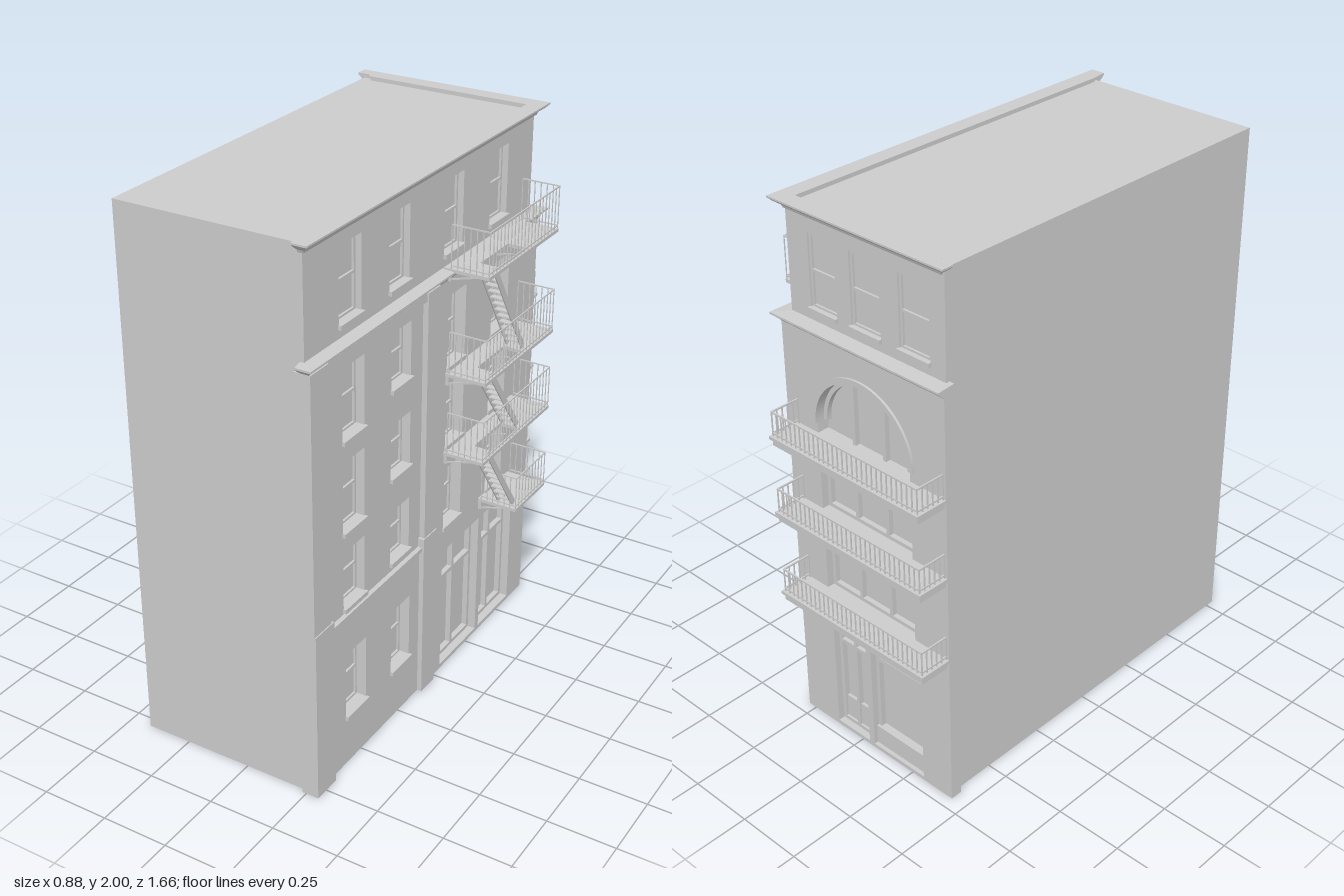
import * as THREE from 'three';
import { mergeGeometries } from 'three/addons/utils/BufferGeometryUtils.js';

const grey = new THREE.MeshStandardMaterial({ color: 0xcccccc, flatShading: true });
const greyOpen = new THREE.MeshStandardMaterial({ color: 0xcccccc, flatShading: true, side: THREE.DoubleSide });

function add(parent, name, geos, mat = grey) {
  const list = Array.isArray(geos) ? geos : [geos];
  const mesh = new THREE.Mesh(list.length > 1 ? mergeGeometries(list) : list[0], mat);
  mesh.name = name;
  parent.add(mesh);
  return mesh;
}

// Box given by its limits on each axis
function box(x0, x1, y0, y1, z0, z1) {
  return new THREE.BoxGeometry(x1 - x0, y1 - y0, z1 - z0)
    .translate((x0 + x1) / 2, (y0 + y1) / 2, (z0 + z1) / 2);
}

// Straight bar between two points; w is its width, h its height
function bar(a, b, w, h = w) {
  const p = new THREE.Vector3(...a), q = new THREE.Vector3(...b);
  const m = new THREE.Object3D();
  m.position.copy(p).add(q).multiplyScalar(0.5);
  m.lookAt(q);
  m.updateMatrix();
  return new THREE.BoxGeometry(w, h, p.distanceTo(q)).applyMatrix4(m.matrix);
}

function rectPath(C, u0, u1, v0, v1) {
  const p = new C();
  p.moveTo(u0, v0); p.lineTo(u1, v0); p.lineTo(u1, v1); p.lineTo(u0, v1); p.closePath();
  return p;
}

// Wall slab from depth d0 to d1 with openings; holes are [u0,u1,y0,y1] or paths
function wall(u0, u1, y0, y1, d0, d1, holes = []) {
  const s = rectPath(THREE.Shape, u0, u1, y0, y1);
  for (const h of holes) s.holes.push(Array.isArray(h) ? rectPath(THREE.Path, ...h) : h);
  return new THREE.ExtrudeGeometry(s, { depth: d1 - d0, bevelEnabled: false, curveSegments: 20 })
    .translate(0, 0, d0);
}

// Frame around an opening with optional uprights and cross rails (fractions)
function frame([u0, u1, y0, y1], d0, d1, t, ups = [], rails = []) {
  const g = [box(u0, u0 + t, y0, y1, d0, d1), box(u1 - t, u1, y0, y1, d0, d1),
    box(u0, u1, y0, y0 + t, d0, d1), box(u0, u1, y1 - t, y1, d0, d1)];
  for (const f of ups) { const u = u0 + f * (u1 - u0); g.push(box(u - t / 2, u + t / 2, y0, y1, d0, d1)); }
  for (const f of rails) { const y = y0 + f * (y1 - y0); g.push(box(u0, u1, y - t / 2, y + t / 2, d0, d1)); }
  return g;
}

// Sash windows with a middle rail and a projecting sill
function windows(parent, holes, back, face) {
  const g = [];
  for (const h of holes) {
    g.push(...frame(h, back, back + 0.008, 0.009, [], [0.5]));
    g.push(box(h[0] - 0.004, h[1] + 0.004, h[2] - 0.014, h[2] + 0.002, back, face + 0.012));
  }
  add(parent, 'sashWindows', g);
}

// Moulding swept round the corner; profile is [offset, y], ring gives [x, z] for an offset
function cornice(parent, name, profile, ring) {
  const pos = [], rows = profile.map(([o, y]) => ring(o).map(([x, z]) => [x, y, z]));
  const n = rows.length, m = rows[0].length;
  for (let i = 0; i < n; i++) {
    const a = rows[i], b = rows[(i + 1) % n];
    for (let j = 0; j < m - 1; j++) pos.push(...a[j], ...b[j], ...b[j + 1], ...a[j], ...b[j + 1], ...a[j + 1]);
  }
  const caps = THREE.ShapeUtils.triangulateShape(profile.map(p => new THREE.Vector2(...p)), []);
  for (const t of caps) for (const j of [0, m - 1]) for (const k of t) pos.push(...rows[k][j]);
  const g = new THREE.BufferGeometry();
  g.setAttribute('position', new THREE.Float32BufferAttribute(pos, 3));
  g.computeVertexNormals();
  add(parent, name, g, greyOpen);
}

// Railing along [x, z] corner points
function railing(parent, name, pts, y, h, gap, t) {
  const g = [];
  for (let i = 0; i < pts.length - 1; i++) {
    const [ax, az] = pts[i], [bx, bz] = pts[i + 1];
    for (const yy of [y + h, y + 0.012]) g.push(bar([ax, yy, az], [bx, yy, bz], t * 1.4));
    const n = Math.max(1, Math.round(Math.hypot(bx - ax, bz - az) / gap));
    for (let k = 0; k <= n; k++) {
      const x = ax + (bx - ax) * k / n, z = az + (bz - az) * k / n;
      g.push(box(x - t / 2, x + t / 2, y, y + h, z - t / 2, z + t / 2));
    }
  }
  add(parent, name, g);
}

function sideFacade(root) {
  // Local u runs towards the back, depth runs outwards
  const f = new THREE.Group();
  f.name = 'sideFacade';
  f.rotation.y = Math.PI / 2;
  root.add(f);
  const A = [-0.595, -0.465], B = [-0.3, -0.175], C = [0.05, 0.175], D = [0.365, 0.49];
  const top = [A, B, C, D].map(c => [...c, 1.655, 1.91]);
  const panel = [[...A, 1.26, 1.51], [...B, 1.31, 1.51], [...A, 0.925, 1.18], [...B, 0.98, 1.18],
    [...A, 0.635, 0.85], [...B, 0.65, 0.85]];
  const ground = [[...A, 0.2, 0.45], [...B, 0.2, 0.45]];
  const bay = [C, D].flatMap(c => [[...c, 1.245, 1.51], [...c, 0.94, 1.18], [...c, 0.61, 0.85]]);
  const shops = [[0.05, 0.325, 0.015, 0.51], [0.35, 0.59, 0.015, 0.51]];
  const d = 0.235;
  add(f, 'topWall', wall(-0.785, 0.66, 1.6, 1.985, d, 0.265, top));
  add(f, 'panelWall', wall(-0.785, -0.02, 0.6, 1.6, d, 0.275, panel));
  add(f, 'groundWall', wall(-0.785, -0.02, 0, 0.6, d, 0.281, ground));
  add(f, 'bayWall', wall(-0.02, 0.66, 0, 1.6, d, 0.285, [...bay, ...shops]));
  windows(f, top, d, 0.265);
  windows(f, panel, d, 0.275);
  windows(f, ground, d, 0.281);
  windows(f, bay, d, 0.28);
  add(f, 'shopWindows', shops.flatMap(h => frame(h, d, d + 0.02, 0.014, [0.5], [0.7])));
  // Pilasters, wider at ground level, and the string course between them
  add(f, 'pilasters', [box(-0.8, -0.7, 0, 1.58, d, 0.295), box(-0.8, -0.69, 0, 0.65, d, 0.299),
    box(-0.1, -0.02, 0, 1.58, d, 0.295), box(-0.11, -0.02, 0, 0.65, d, 0.299)]);
  add(f, 'stringCourse', [box(-0.7, -0.1, 0.6, 0.616, d, 0.292), box(-0.7, -0.1, 1.55, 1.58, d, 0.29)]);
}

function backFacade(root) {
  // Local u runs towards the model's right, depth runs outwards
  const f = new THREE.Group();
  f.name = 'backFacade';
  f.rotation.y = Math.PI;
  root.add(f);
  const c = 0.0725, r = 0.212, d = 0.66, face = 0.705;
  const top = [[-0.17, -0.05], [0.015, 0.145], [0.225, 0.355]].map(w => [...w, 1.655, 1.91]);
  const wide = [[c - r, c + r, 0.6, 0.83], [c - r, c + r, 0.925, 1.15]];
  const door = [-0.125, 0.035, 0.015, 0.51], shop = [0.06, 0.305, 0.015, 0.51];
  const arch = new THREE.Path();
  arch.moveTo(c - r, 1.22);
  arch.lineTo(c + r, 1.22);
  arch.lineTo(c + r, 1.26);
  arch.absarc(c, 1.26, r, 0, Math.PI, false);
  arch.closePath();
  add(f, 'topWall', wall(-0.265, 0.42, 1.6, 1.985, d - 0.03, 0.675, top));
  add(f, 'lowerWall', wall(-0.285, 0.44, 0, 1.6, d, face, [...wide, door, shop, arch]));
  windows(f, top, d, 0.675);
  add(f, 'wideWindows', wide.flatMap(h => frame(h, d, d + 0.018, 0.014, [0.33, 0.67], [0.8])));
  // Arched window and its moulding
  const ring = (ro, ri) => {
    const s = new THREE.Shape();
    s.absarc(c, 1.26, ro, 0, Math.PI, false);
    s.absarc(c, 1.26, ri, Math.PI, 0, true);
    return s;
  };
  const ex = depth => ({ depth, bevelEnabled: false, curveSegments: 20 });
  add(f, 'archMoulding', new THREE.ExtrudeGeometry(ring(r + 0.02, r), ex(0.012)).translate(0, 0, face - 0.003));
  add(f, 'archFrame', new THREE.ExtrudeGeometry(ring(r, r - 0.016), ex(0.018)).translate(0, 0, d));
  add(f, 'archMullions', [-0.07, 0.07].map(u => box(c + u - 0.007, c + u + 0.007, 1.22, 1.455, d, d + 0.018)));
  // Street door and shop window
  add(f, 'door', [...frame(door, d, d + 0.02, 0.014, [0.5], [0.72]), box(-0.11, 0.02, 0.03, 0.12, d, d + 0.012)]);
  add(f, 'shopWindow', [...frame(shop, d, d + 0.02, 0.014, [], [0.75]), box(0.06, 0.305, 0.015, 0.09, d, d + 0.03)]);
}

function balconies(root) {
  for (const y of [0.6, 0.925, 1.22]) {
    const g = new THREE.Group();
    g.name = 'balcony';
    root.add(g);
    add(g, 'balconySlab', [box(-0.44, 0.24, y - 0.012, y, -0.828, -0.7), box(-0.432, 0.232, y - 0.035, y - 0.012, -0.82, -0.7)]);
    railing(g, 'balconyRailing', [[-0.43, -0.708], [-0.43, -0.818], [0.23, -0.818], [0.23, -0.708]], y, 0.09, 0.022, 0.004);
  }
}

function fireEscape(root) {
  const g = new THREE.Group();
  g.name = 'fireEscape';
  root.add(g);
  const levels = [[0.6, -0.315], [0.925, -0.04], [1.23, -0.04], [1.615, -0.04]];
  levels.forEach(([y, zf], i) => {
    // Landing with a stair opening on the upper levels
    const s = rectPath(THREE.Shape, 0.27, 0.44, -zf, 0.55);
    if (i) s.holes.push(rectPath(THREE.Path, 0.355, 0.432, 0.11, 0.335));
    add(g, 'landing', new THREE.ExtrudeGeometry(s, { depth: 0.012, bevelEnabled: false })
      .rotateX(-Math.PI / 2).translate(0, y - 0.012, 0));
    railing(g, 'landingRailing', [[0.297, zf - 0.003], [0.437, zf - 0.003], [0.437, -0.547], [0.297, -0.547]],
      y, i ? 0.155 : 0.127, 0.025, 0.003);
    const zs = i ? [-0.045, -0.285, -0.415, -0.545] : [-0.32, -0.415, -0.545];
    add(g, 'brackets', zs.flatMap(z => [bar([0.28, y - 0.042, z], [0.4, y - 0.01, z], 0.005),
      box(0.27, 0.298, y - 0.045, y - 0.01, z - 0.003, z + 0.003)]));
    if (!i) return;
    // Stair down to the landing below
    const yl = levels[i - 1][0], z0 = -0.125, z1 = i === 3 ? -0.36 : -0.345, steps = i === 3 ? 13 : 10;
    const parts = [0.358, 0.415].map(x => bar([x, y - 0.005, z0], [x, yl + 0.005, z1], 0.004, 0.024));
    for (let k = 1; k < steps; k++) {
      const t = k / steps, yy = y + (yl - y) * t, z = z0 + (z1 - z0) * t;
      parts.push(box(0.358, 0.415, yy - 0.002, yy + 0.002, z - 0.011, z + 0.011));
    }
    parts.push(box(0.355, 0.418, y - 0.01, y, z0 - 0.01, z0 + 0.02));
    add(g, 'stair', parts);
  });
}

export function createModel() {
  const root = new THREE.Group();
  root.name = 'townBuilding';
  add(root, 'mainBlock', box(-0.42, 0.235, 0, 1.985, -0.66, 0.785));
  sideFacade(root);
  backFacade(root);
  // Roof cornice returns at both ends, middle cornice stops flush on the right
  cornice(root, 'roofCornice', [[-0.01, 1.955], [0.008, 1.96], [0.012, 1.97], [0.03, 1.983], [0.042, 1.994],
    [0.042, 2], [-0.02, 2], [-0.02, 1.98]],
    o => [[0.255, 0.786 + o], [0.267 + o, 0.786 + o], [0.267 + o, -0.667 - o], [-0.403 - o, -0.667 - o], [-0.403 - o, -0.665]]);
  cornice(root, 'middleCornice', [[-0.005, 1.565], [0.01, 1.57], [0.014, 1.58], [0.026, 1.59], [0.037, 1.6],
    [0.037, 1.607], [-0.03, 1.612], [-0.03, 1.59]],
    o => [[0.255, 0.785 + o], [0.275 + o, 0.785 + o], [0.275 + o, -0.692 - o], [-0.44, -0.692 - o]]);
  balconies(root);
  fireEscape(root);
  return root;
}
